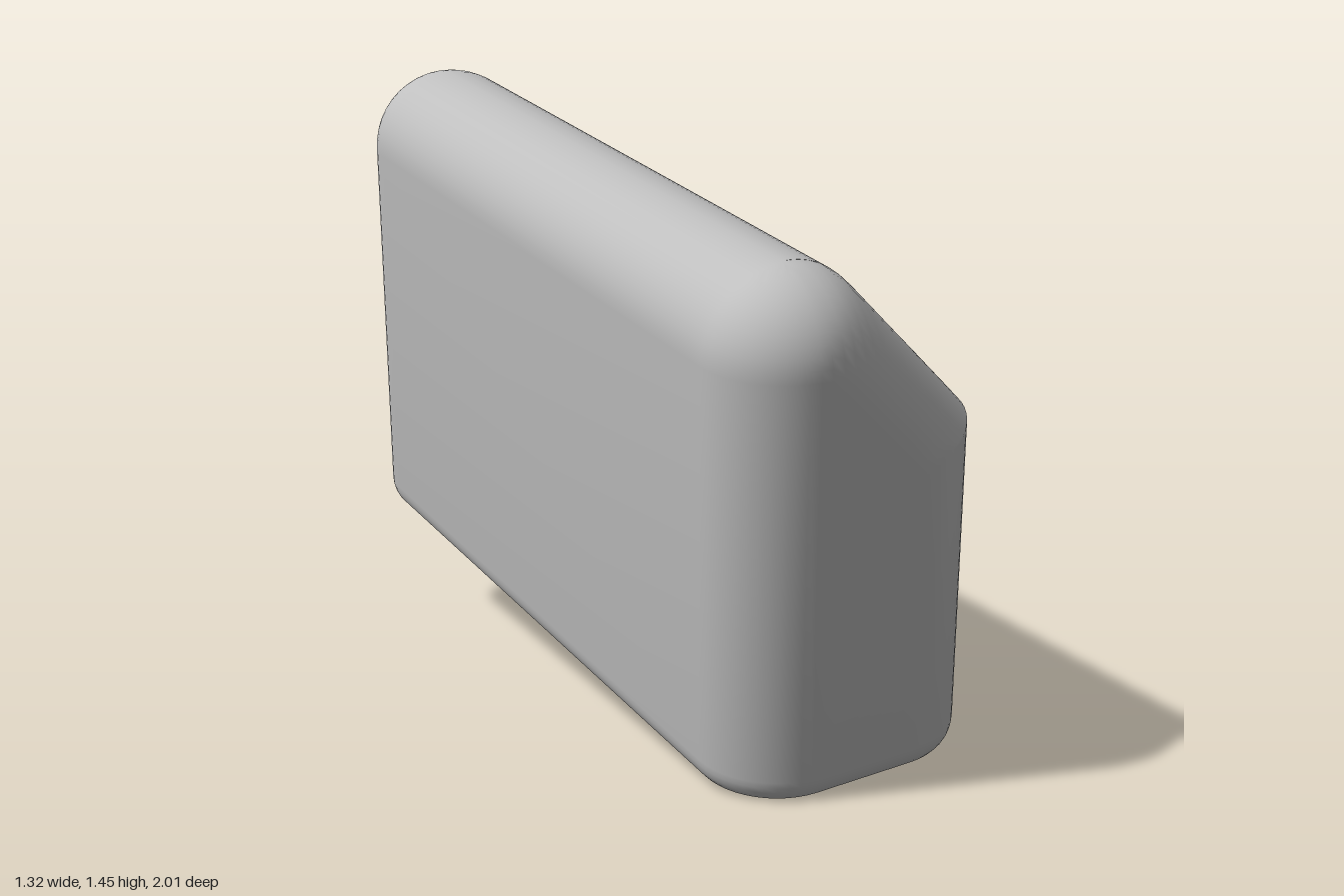
import * as THREE from 'three';
import { toCreasedNormals } from 'three/addons/utils/BufferGeometryUtils.js';

// Tilted cap: local axes are length (l), up (u) and thickness (t)
const RADIUS = 0.19, WALL = 0.07, RIM = 0.055, BASE = 0.155;
const L_MIN = -0.905, L_MAX = 0.636;   // corner arc centres along the length
const T_MIN = -0.195, T_MAX = 0.043;   // corner arc centres across the thickness
const TOP = 1.118, SLOPE = 0.832;      // rounded ridge height, fall angle to the back
const ARC = 12, SIDE = 8;

// Rounded-rectangle plan whose corner radius is r
function planLoop(r) {
  const pts = [];
  const corners = [[L_MAX, T_MAX], [L_MAX, T_MIN], [L_MIN, T_MIN], [L_MIN, T_MAX]];
  corners.forEach(([l, t], c) => {
    for (let i = 0; i <= ARC; i++) {
      const a = (c + i / ARC) * Math.PI / 2;
      pts.push([l + r * Math.sin(a), t + r * Math.cos(a)]);
    }
    // subdivide the short ends, where the roof height varies
    if (c % 2 === 0) {
      const [l0, t0] = pts[pts.length - 1];
      const t1 = corners[c + 1][1];
      for (let i = 1; i < SIDE; i++) pts.push([l0, t0 + (t1 - t0) * i / SIDE]);
    }
  });
  return pts;
}

// Roof: rounded front ridge and ends, then a plane sloping to the back
function roofHeight(l, t, r) {
  const e = Math.max(0, l - L_MAX, L_MIN - l);
  const R = Math.sqrt(Math.max(0, r * r - e * e));
  const tangent = T_MAX - R * Math.sin(SLOPE);
  if (t > tangent) return TOP + Math.sqrt(Math.max(0, R * R - (t - T_MAX) ** 2));
  return TOP + R * Math.cos(SLOPE) - (tangent - t) * Math.tan(SLOPE);
}

// Loops from the wall top to the closed middle of the roof
function roofLoops(r) {
  const loops = [];
  const lift = (pts) => pts.map(([l, t]) => [l, roofHeight(l, t, r), t]);
  for (let k = 0; k <= ARC; k++) loops.push(lift(planLoop(r * Math.cos(k / ARC * Math.PI / 2))));
  const mid = (T_MIN + T_MAX) / 2;
  for (let k = 1; k <= SIDE; k++) {
    loops.push(lift(planLoop(0).map(([l, t]) => [l, mid + (t - mid) * (1 - k / SIDE)])));
  }
  return loops;
}

// Rounded rim joining the inner and outer walls
function rimLoops() {
  const loops = [];
  for (let k = 0; k <= ARC; k++) {
    const a = k / ARC * Math.PI;
    const r = RADIUS - WALL / 2 - Math.cos(a) * WALL / 2;
    const u = BASE + RIM * (1 - Math.sin(a));
    loops.push(planLoop(r).map(([l, t]) => [l, u, t]));
  }
  return loops;
}

function loft(loops) {
  const n = loops[0].length, index = [];
  for (let k = 0; k < loops.length - 1; k++) {
    for (let j = 0; j < n; j++) {
      const a = k * n + j, b = k * n + (j + 1) % n;
      index.push(a, b, a + n, b, b + n, a + n);
    }
  }
  const geo = new THREE.BufferGeometry();
  geo.setAttribute('position', new THREE.Float32BufferAttribute(loops.flat(2), 3));
  geo.setIndex(index);
  return geo;
}

export function createModel() {
  const group = new THREE.Group();
  const grey = new THREE.MeshStandardMaterial({ color: 0xbfbfbf });
  grey.name = 'plain grey';

  // Hollow shell: cavity roof, rim, outer walls, outer roof
  const geo = loft([...roofLoops(RADIUS - WALL).reverse(), ...rimLoops(), ...roofLoops(RADIUS)]);

  // Lean the shell into its resting pose
  const L = new THREE.Vector3(0.47, -0.185, 0.863).normalize();
  const T = new THREE.Vector3().crossVectors(L, new THREE.Vector3(-0.01, 0.976, 0.215)).normalize();
  const U = new THREE.Vector3().crossVectors(T, L);
  geo.applyMatrix4(new THREE.Matrix4().makeBasis(L, U, T));

  const shell = new THREE.Mesh(toCreasedNormals(geo, 0.42), grey);
  shell.name = 'hollowCapShell';
  group.add(shell);
  return group;
}
